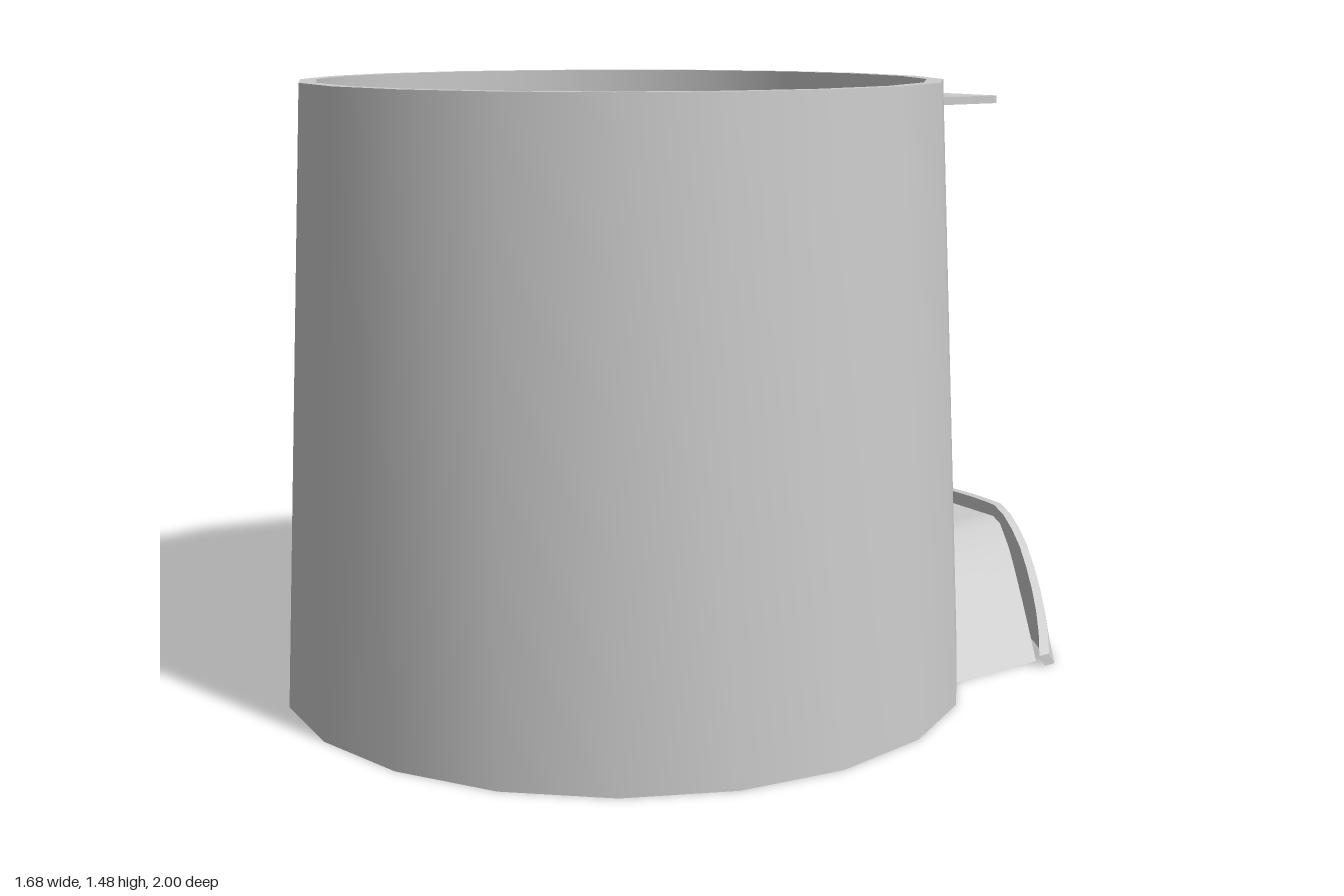
import * as THREE from 'three';
import { toCreasedNormals, mergeGeometries } from 'three/addons/utils/BufferGeometryUtils.js';

const CZ = 0.16;      // centre of the tub along z
const HEIGHT = 1.48;
const material = new THREE.MeshStandardMaterial({ color: 0xcccccc, side: THREE.DoubleSide });

// Surface from a rule: fn(u, v) -> [x, y, z]
function grid(nu, nv, fn) {
  const pos = [], idx = [];
  for (let i = 0; i <= nu; i++)
    for (let j = 0; j <= nv; j++) pos.push(...fn(i / nu, j / nv));
  for (let i = 0; i < nu; i++)
    for (let j = 0; j < nv; j++) {
      const a = i * (nv + 1) + j, b = a + nv + 1;
      idx.push(a, a + 1, b, b, a + 1, b + 1);
    }
  const g = new THREE.BufferGeometry();
  g.setAttribute('position', new THREE.Float32BufferAttribute(pos, 3));
  g.setIndex(idx);
  g.computeVertexNormals();
  return g;
}

// Linear interpolation through [key, value] pairs with ascending keys
function lerpTable(table, k) {
  for (let i = 1; i < table.length; i++) {
    const [k0, v0] = table[i - 1], [k1, v1] = table[i];
    if (k <= k1) return v0 + ((v1 - v0) * Math.max(0, k - k0)) / (k1 - k0);
  }
  return table[table.length - 1][1];
}

// Tapered thick wall of a 20-sided tub with an arched doorway in its two back facets
function tubWall() {
  const profile = [[0.79, 0], [0.84, 0], [0.77, HEIGHT], [0.73, HEIGHT], [0.79, 0]]
    .map(([r, y]) => new THREE.Vector2(r, y));
  const shell = new THREE.LatheGeometry(profile, 18, Math.PI * 1.1, Math.PI * 1.8);
  shell.deleteAttribute('uv');

  // Rows of a back facet: [height, half width of the doorway, rim closed]
  const rows = [[0, 0, true], [0, 0], [0.27, 0], [0.27, 0.145], [0.68, 0.145]];
  for (let k = 1; k <= 6; k++) {
    const a = (k / 6) * (Math.PI / 2);
    rows.push([0.68 + 0.15 * Math.sin(a), 0.145 * Math.cos(a)]);
  }
  rows.push([HEIGHT, 0], [HEIGHT, 0, true]);

  // Section corners: [0 at the doorway to 1 at the shell, outer or inner skin]
  const section = [[1, true], [0, true], [0, false], [1, false], [1, true]];
  const facet = (side) => grid(rows.length - 1, 4, (u, v) => {
    const [y, door, closed] = rows[Math.round(u * (rows.length - 1))];
    const j = Math.round(v * 4);
    const [s, outer] = section[side > 0 ? j : 4 - j];
    const t = y / HEIGHT;
    const r = outer && !closed ? 0.84 - 0.07 * t : 0.79 - 0.06 * t;
    const column = r * Math.sin(Math.PI / 10);
    const x = door + (column - door) * s;
    return [side * x, y, -r + (r * (1 - Math.cos(Math.PI / 10)) * x) / column];
  });
  return toCreasedNormals(mergeGeometries([shell, facet(1), facet(-1)]), 0.6);
}

export function createModel() {
  const model = new THREE.Group();
  const add = (name, geometry) => {
    const mesh = new THREE.Mesh(geometry, material);
    mesh.name = name;
    model.add(mesh);
    return mesh;
  };

  add('tubWall', tubWall()).position.z = CZ;

  // Landing floor level with the doorway
  const floor = add('floor', new THREE.CylinderGeometry(0.775, 0.775, 0.02, 20));
  floor.position.set(0, 0.27, CZ);

  // Spiral ramp: degrees travelled from the upper end against height
  const rampHeights = [[0, 1.41], [100, 1.4], [130, 1.39], [163, 1.31], [195, 1.21],
    [240, 1.06], [300, 0.94], [350, 0.88], [450, 0.84]];
  add('spiralRamp', grid(45, 4, (u, v) => {
    const turn = u * 450;
    const a = ((150 - turn) * Math.PI) / 180;
    const r = 0.37 + v * 0.38;
    const y = lerpTable(rampHeights, turn) - 0.025 * (1 - v);
    return [r * Math.cos(a), y, CZ - r * Math.sin(a)];
  }));

  // Arched exit tray: flat in the middle, falling away to both sides
  const crown = [[0, 0.28], [0.22, 0.28], [0.33, 0.22], [0.45, 0.11], [0.56, 0]];
  const trayEdge = [[0, -0.95], [0.22, -0.93], [0.56, -0.735]];
  add('exitTray', grid(28, 4, (u, v) => {
    const x = (u * 2 - 1) * 0.56;
    return [x, lerpTable(crown, Math.abs(x)), -0.45 + v * (lerpTable(trayEdge, Math.abs(x)) + 0.45)];
  }));

  // Curved lip around the tray, leaning inward, tallest in the middle
  const lipTop = [[0, 0.31], [0.22, 0.31], [0.33, 0.25], [0.45, 0.15], [0.6, 0.03]];
  const lipSection = [[0.87, 0], [0.855, 1], [0.83, 1], [0.845, 0], [0.87, 0]];
  const lipPoint = (x, [r, h]) =>
    [x, h * lerpTable(lipTop, Math.abs(x)), -0.13 - Math.sqrt(r * r - x * x)];
  add('trayLip', toCreasedNormals(grid(24, 4, (u, v) =>
    lipPoint((u * 2 - 1) * 0.6, lipSection[Math.round(v * 4)])), 0.6));
  for (const side of [-1, 1])
    add('lipEnd', grid(1, 1, (u, v) =>
      lipPoint(side * 0.6, lipSection[u ? 3 - v : v])));

  // Small platform outside the rim above the door
  add('topPlatform', new THREE.BoxGeometry(0.39, 0.02, 0.31)).position.set(0.015, 1.412, -0.735);

  return model;
}
